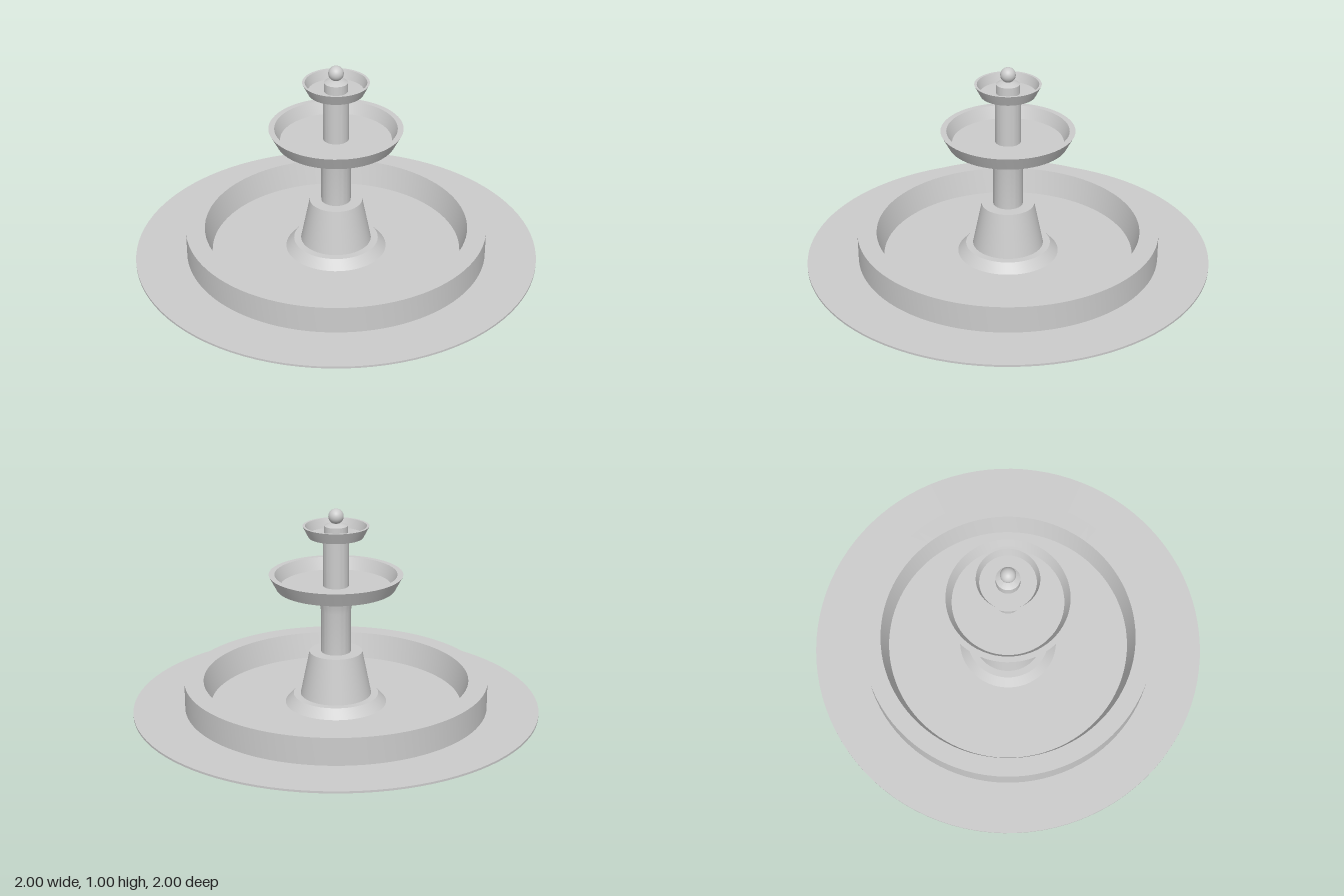
import * as THREE from 'three';
import { toCreasedNormals } from 'three/addons/utils/BufferGeometryUtils.js';

const material = new THREE.MeshStandardMaterial({ color: 0xcccccc });

// Turned part: [radius, height] pairs, running up the outside and back in over the top
function turned(name, profile, segments = 64) {
  const points = profile.map(([r, y]) => new THREE.Vector2(r, y));
  const geometry = toCreasedNormals(new THREE.LatheGeometry(points, segments), Math.PI / 6);
  const mesh = new THREE.Mesh(geometry, material);
  mesh.name = name;
  return mesh;
}

export function createModel() {
  const fountain = new THREE.Group();
  fountain.name = 'fountain';

  // Thin paved disc under everything
  fountain.add(turned('ground', [[0, 0], [1, 0], [1, 0.01], [0, 0.01]], 96));

  // Wide pool with a broad flat rim and a sloping inner wall
  fountain.add(turned('pool', [
    [0.747, 0.01], [0.747, 0.145], [0.653, 0.145], [0.62, 0.015], [0, 0.015],
  ], 96));

  // Stepped foot
  fountain.add(turned('plinth', [[0.25, 0.015], [0.21, 0.06], [0, 0.06]]));
  fountain.add(turned('pedestal', [[0.175, 0.06], [0.13, 0.28], [0, 0.28]]));

  // Main column flaring gently into the large bowl
  fountain.add(turned('lowerColumn', [
    [0.073, 0.28], [0.073, 0.49], [0.078, 0.52], [0.086, 0.56], [0.097, 0.603],
  ]));
  fountain.add(turned('largeBowl', [
    [0, 0.6], [0.1, 0.6], [0.288, 0.605], [0.325, 0.675],
    [0.297, 0.675], [0.27, 0.615], [0, 0.615],
  ]));

  // Upper column and small bowl
  fountain.add(turned('upperColumn', [[0.062, 0.615], [0.062, 0.85]]));
  fountain.add(turned('smallBowl', [
    [0, 0.843], [0.07, 0.843], [0.132, 0.86], [0.16, 0.915],
    [0.148, 0.915], [0.133, 0.87], [0, 0.87],
  ]));

  // Finial: short post with a low cap and a ball
  fountain.add(turned('finialPost', [
    [0.057, 0.87], [0.057, 0.915], [0.03, 0.928], [0, 0.928],
  ]));
  const ball = new THREE.Mesh(new THREE.SphereGeometry(0.037, 32, 20), material);
  ball.name = 'finialBall';
  ball.position.y = 0.961;
  fountain.add(ball);

  return fountain;
}
